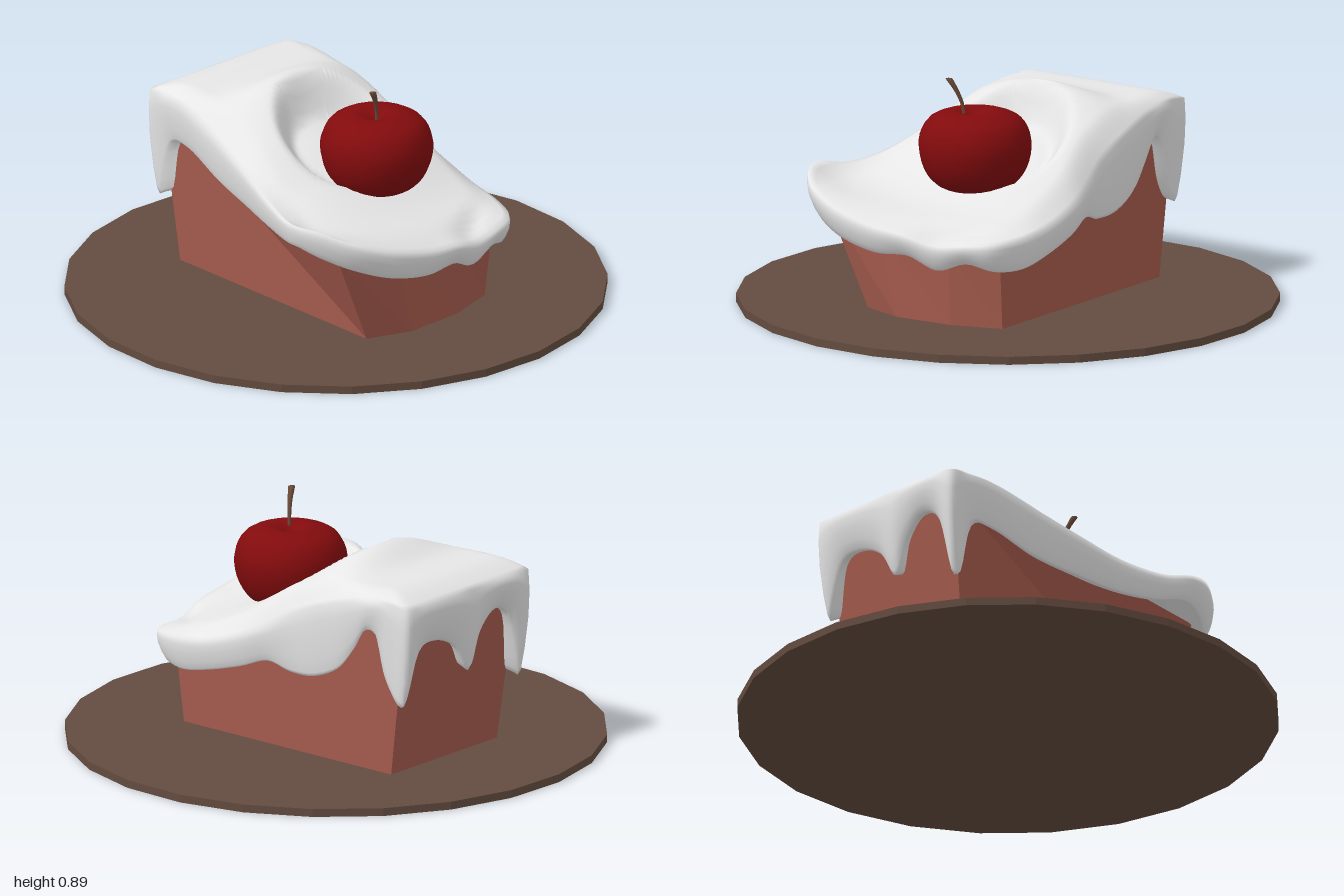
import * as THREE from 'three';

const mat = (name, color) => {
  const m = new THREE.MeshStandardMaterial({ color });
  m.name = name;
  return m;
};

// Skin closed rings (clockwise seen from above, listed from the top down) into one surface.
function loft(rings) {
  const n = rings[0].length, index = [];
  for (let i = 0; i < rings.length - 1; i++) {
    for (let j = 0; j < n; j++) {
      const k = (j + 1) % n;
      const a = i * n + j, b = i * n + k, c = a + n, d = b + n;
      index.push(a, b, c, b, d, c);
    }
  }
  const g = new THREE.BufferGeometry();
  g.setAttribute('position', new THREE.Float32BufferAttribute(rings.flat(2), 3));
  g.setIndex(index);
  g.computeVertexNormals();
  return g;
}

function flat(geometry) {
  const g = geometry.toNonIndexed();
  g.computeVertexNormals();
  return g;
}

// Icing outline: x, z, height of the upper edge, height of the dripping lower edge.
const OUTLINE = [
  [-.34, -.64, .69, .28], [-.27, -.65, .69, .52], [-.18, -.65, .69, .57], [-.09, -.65, .69, .5],
  [-.03, -.65, .69, .37], [.05, -.65, .69, .48], [.17, -.65, .69, .53], [.27, -.65, .69, .5],
  [.34, -.64, .69, .31], [.35, -.57, .7, .38], [.355, -.52, .7, .55], [.36, -.46, .69, .575],
  [.36, -.4, .68, .49], [.365, -.32, .66, .4], [.37, -.2, .62, .35], [.37, -.08, .56, .345],
  [.385, .02, .5, .37], [.405, .14, .45, .33], [.405, .3, .4, .285], [.39, .45, .38, .255],
  [.34, .57, .37, .26], [.24, .62, .36, .285], [.12, .645, .35, .25], [0, .67, .38, .295],
  [-.15, .68, .4, .29], [-.32, .66, .44, .32], [-.46, .6, .49, .37], [-.54, .5, .53, .41],
  [-.56, .4, .53, .43], [-.52, .28, .51, .41], [-.47, .12, .53, .41], [-.43, -.05, .58, .43],
  [-.39, -.25, .64, .46], [-.36, -.45, .69, .52], [-.35, -.57, .69, .5],
];

// Icing height along z at x = -0.32, 0 and 0.32.
const ROW_Z = [-.7, -.55, -.38, -.22, -.05, .2, .4, .7];
const ROW_Y = [
  .73, .73, .73, .735, .735, .735, .725, .74, .725, .70, .79, .70,
  .65, .71, .64, .53, .55, .50, .47, .45, .42, .46, .395, .37,
];

function icingGeometry() {
  const rows = new THREE.CubicInterpolant(ROW_Z, ROW_Y, 3);
  const height = (x, z) => {
    const [l, m, r] = rows.evaluate(z);
    const u = THREE.MathUtils.clamp(x / .32, -1.3, 1.3);
    let y = m + (r - l) / 2 * u + ((r + l) / 2 - m) * u * u;
    // hollow that holds the cherry
    const d = Math.hypot(x, z - .05);
    y -= (.1 - .2 * z) * (1 - THREE.MathUtils.smoothstep(d, .18, .27));
    // diagonal fold at the front
    const across = (x - .15) * .57 + (z - .57) * .82;
    const along = (x - .15) * .82 - (z - .57) * .57;
    return y - .03 * Math.exp(-((across / .03) ** 2) - (along / .13) ** 2);
  };
  const curve = (k) => new THREE.CatmullRomCurve3(
    OUTLINE.map((p) => new THREE.Vector3(p[0], p[k], p[1])), true, 'catmullrom', .5);
  const N = 175;
  const sample = (c) => Array.from({ length: N }, (_, i) => c.getPoint(i / N));
  const upper = sample(curve(2)), lower = sample(curve(3));
  const rings = [];
  // top surface, rounding over towards the edge
  const STEPS = 26;
  for (let i = 0; i <= STEPS; i++) {
    const r = i / STEPS, t = Math.max(0, (r - .76) / .24) ** 2;
    rings.push(upper.map((p) => {
      const x = p.x * r, z = p.z * r;
      return [x, THREE.MathUtils.lerp(height(x, z), p.y, t), z];
    }));
  }
  // hanging skirt, curling under into the cake
  for (const [scale, drop, lift] of [
    [1.006, .2, 0], [1, .45, 0], [.98, .75, 0], [.96, .95, 0], [.945, 1, 0], [.91, .97, 0], [.8, .97, .03],
  ]) {
    rings.push(upper.map((p, j) => [
      p.x * scale, THREE.MathUtils.lerp(p.y, lower[j].y, drop) + lift, p.z * scale]));
  }
  return loft(rings);
}

function cakeGeometry() {
  const top = [
    [-.315, .62, -.605], [.315, .62, -.605], [.32, .31, .5], [.12, .31, .545],
    [-.2, .35, .55], [-.455, .4, .5],
  ];
  const bottom = [
    [-.29, .03, -.53], [.305, .03, -.53], [.31, .03, .47], [.12, .03, .53],
    [-.12, .03, .54], [-.29, .03, .48],
  ];
  return flat(loft([top.map(() => [0, .45, 0]), top, bottom, bottom.map(() => [0, .03, 0])]));
}

// Stem that thickens towards its tip.
function stemGeometry() {
  const path = new THREE.CatmullRomCurve3([
    new THREE.Vector3(-.02, .72, .245), new THREE.Vector3(-.028, .79, .25),
    new THREE.Vector3(-.045, .84, .262), new THREE.Vector3(-.07, .885, .275)]);
  const rings = [];
  for (let i = 8; i >= 0; i--) {
    const p = path.getPoint(i / 8), r = .006 + .007 * (i / 8) ** 2;
    rings.push(Array.from({ length: 8 }, (_, j) => {
      const a = j / 8 * Math.PI * 2;
      return [p.x + Math.cos(a) * r, p.y, p.z + Math.sin(a) * r];
    }));
  }
  const tip = path.getPoint(1);
  rings.unshift(rings[0].map(() => [tip.x, tip.y + .002, tip.z]));
  return loft(rings);
}

export function createModel() {
  const model = new THREE.Group();
  model.name = 'cakeSlice';
  const add = (name, geometry, material) => {
    const mesh = new THREE.Mesh(geometry, material);
    mesh.name = name;
    model.add(mesh);
    return mesh;
  };

  // plate
  const plate = add('plate', flat(new THREE.CylinderGeometry(1, 1, .03, 24)), mat('plateBrown', 0x634b3f));
  plate.position.y = .015;
  plate.rotation.y = .1;

  // sponge and icing
  add('cake', cakeGeometry(), mat('spongePink', 0xa55b4d));
  const white = mat('icingWhite', 0xe6e6e6);
  white.side = THREE.DoubleSide;
  add('icing', icingGeometry(), white);

  // cherry with a dimple around the stem
  const profile = new THREE.SplineCurve([
    [0, .455], [.08, .462], [.15, .495], [.19, .55], [.208, .62], [.202, .68],
    [.168, .735], [.1, .762], [.05, .757], [0, .73],
  ].map(([x, y]) => new THREE.Vector2(x, y))).getPoints(24);
  profile.forEach((p) => { p.x = Math.max(0, p.x); });
  const cherry = add('cherry', new THREE.LatheGeometry(profile, 24), mat('cherryRed', 0x820b0d));
  cherry.position.set(.005, 0, .215);
  add('cherryStem', stemGeometry(), mat('stemBrown', 0x6a4a38));

  return model;
}
